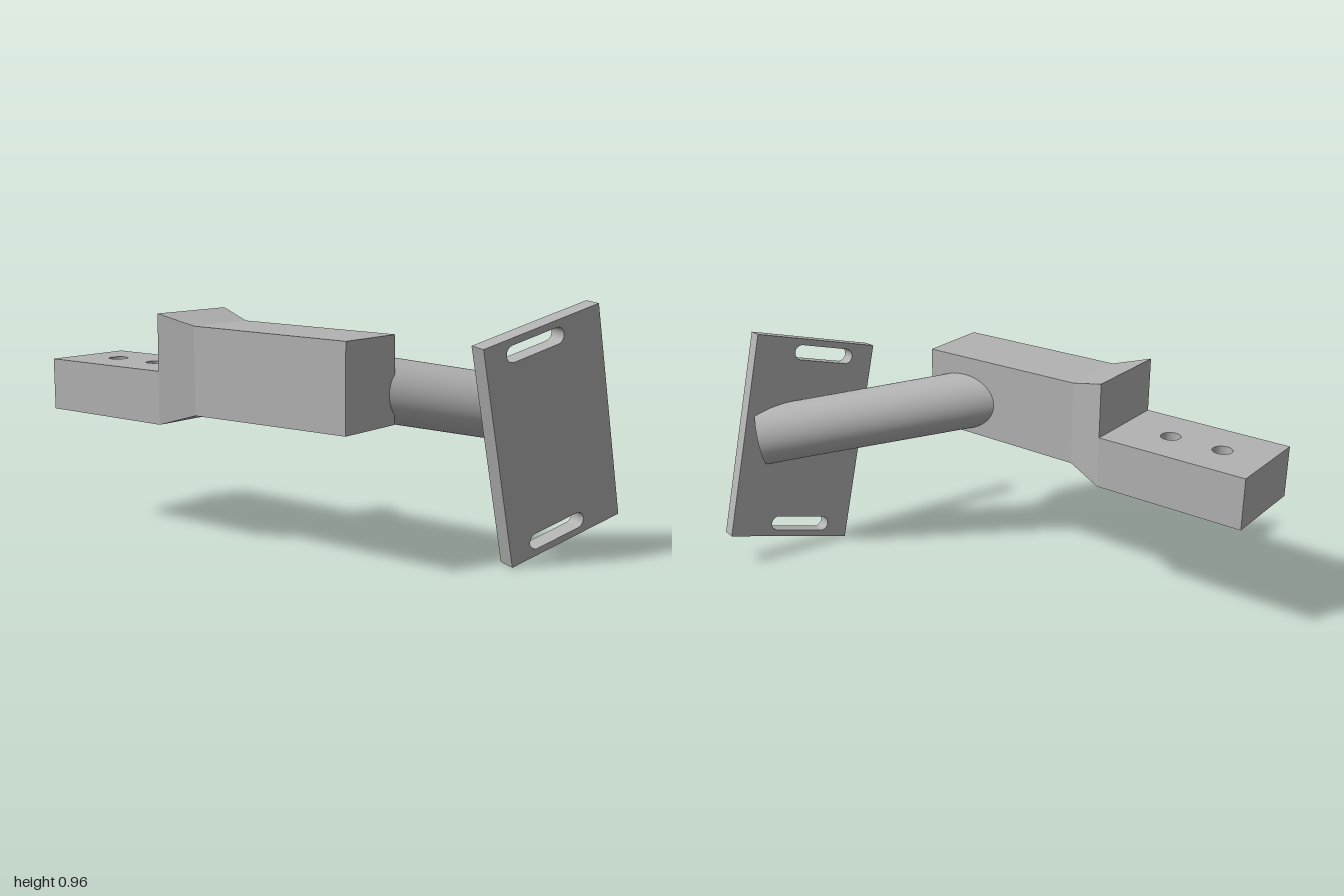
import * as THREE from 'three';

const steel = new THREE.MeshStandardMaterial({ color: 0xb2b2b2 });
steel.name = 'plain grey steel';

function part(name, geometry) {
  const mesh = new THREE.Mesh(geometry, steel);
  mesh.name = name;
  return mesh;
}

function rectangle(x0, y0, x1, y1) {
  return new THREE.Shape([[x0, y0], [x1, y0], [x1, y1], [x0, y1]].map(p => new THREE.Vector2(...p)));
}

// Flat lug with two vertical bolt holes
function makeLug() {
  const shape = rectangle(-1, -0.545, -0.385, -0.18);
  for (const x of [-0.815, -0.595]) {
    shape.holes.push(new THREE.Path().absarc(x, -0.36, 0.039, 0, Math.PI * 2, true));
  }
  const geo = new THREE.ExtrudeGeometry(shape, { depth: 0.205, bevelEnabled: false, curveSegments: 24 });
  return part('lug', geo.rotateX(-Math.PI / 2).translate(0, 0.48, 0));
}

// Rectangular bar, lofted through stations of [x, bottom, top, back, front]
function makeBar() {
  const rings = [
    [-0.385, 0.48, 0.903, 0.18, 0.545],
    [-0.235, 0.525, 0.862, 0.22, 0.505],
    [0.475, 0.53, 0.854, 0.22, 0.505],
  ].map(([x, y0, y1, z0, z1]) => [[x, y0, z0], [x, y1, z0], [x, y1, z1], [x, y0, z1]]);
  const pos = [];
  const quad = (a, b, c, d) => pos.push(...a, ...b, ...c, ...a, ...c, ...d);
  for (let s = 0; s < 2; s++) {
    for (let i = 0; i < 4; i++) {
      const j = (i + 1) % 4;
      quad(rings[s][i], rings[s][j], rings[s + 1][j], rings[s + 1][i]);
    }
  }
  const [a, b, c, d] = rings[0];
  quad(d, c, b, a);
  quad(...rings[2]);
  const geo = new THREE.BufferGeometry();
  geo.setAttribute('position', new THREE.Float32BufferAttribute(pos, 3));
  geo.computeVertexNormals();
  return part('bar', geo);
}

// Plate axes: u across, v along its length, n outward
const v = new THREE.Vector3(0, 0.961, 0.275).normalize();
const n = new THREE.Vector3(0.936, -0.096, 0.336);
n.addScaledVector(v, -n.dot(v)).normalize();
const u = new THREE.Vector3().crossVectors(v, n);
const plateCentre = new THREE.Vector3(0.8465, 0.486, -0.193);

// Tilted mounting plate with two slots
function makePlate() {
  const shape = rectangle(-0.2645, -0.4265, 0.2645, 0.4265);
  const r = 0.031, half = 0.1, mid = -0.04;
  for (const y of [-0.369, 0.369]) {
    const slot = new THREE.Path();
    slot.absarc(mid + half, y, r, -Math.PI / 2, Math.PI / 2, false);
    slot.absarc(mid - half, y, r, Math.PI / 2, Math.PI * 1.5, false);
    slot.closePath();
    shape.holes.push(slot);
  }
  const geo = new THREE.ExtrudeGeometry(shape, { depth: 0.065, bevelEnabled: false, curveSegments: 16 });
  geo.applyMatrix4(new THREE.Matrix4().makeBasis(u, v, n).setPosition(plateCentre));
  return part('mountingPlate', geo);
}

// Round strut from inside the bar, its far end trimmed to the plate
function makeStrut() {
  const dir = new THREE.Vector3(0.738, -0.159, -0.657).normalize();
  const start = new THREE.Vector3(0.185, 0.688, 0.35);
  const length = 1.035;
  const geo = new THREE.CylinderGeometry(0.12, 0.12, length, 64).translate(0, length / 2, 0);
  const turn = new THREE.Quaternion().setFromUnitVectors(new THREE.Vector3(0, 1, 0), dir);
  geo.applyQuaternion(turn).translate(start.x, start.y, start.z);
  const pos = geo.attributes.position;
  const p = new THREE.Vector3();
  for (let i = 0; i < pos.count; i++) {
    p.fromBufferAttribute(pos, i);
    const past = p.clone().sub(plateCentre).dot(n) - 0.008;
    if (past > 0) p.addScaledVector(dir, -past / dir.dot(n));
    pos.setXYZ(i, p.x, p.y, p.z);
  }
  return part('strut', geo);
}

export function createModel() {
  const model = new THREE.Group();
  model.name = 'mountingBracket';
  model.add(makeLug(), makeBar(), makeStrut(), makePlate());
  return model;
}
